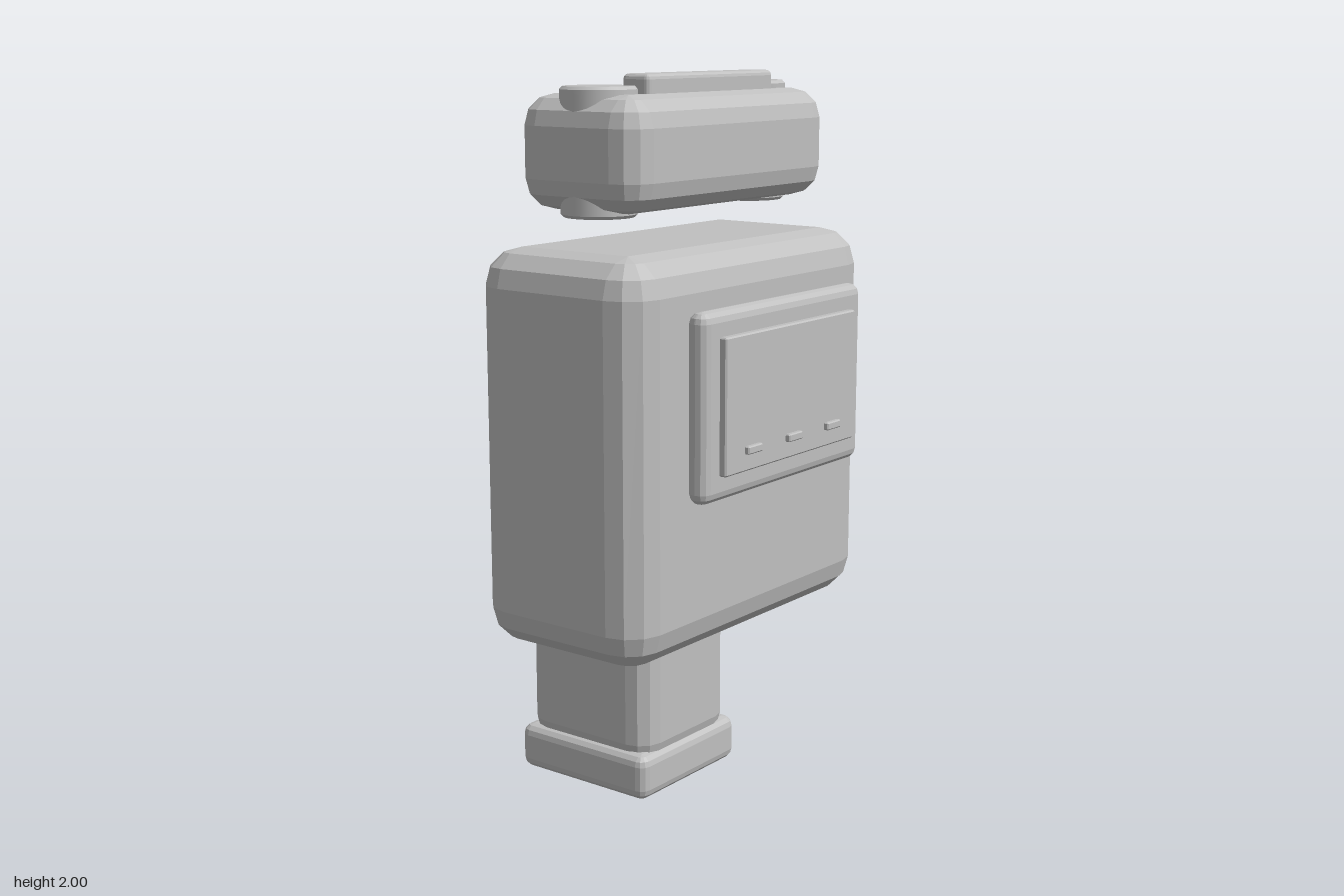
import * as THREE from 'three';
import { ConvexGeometry } from 'three/addons/geometries/ConvexGeometry.js';

const grey = new THREE.MeshStandardMaterial({ color: 0xc0c0c0 });
grey.name = 'plain grey';

// Box between two corners with faceted, rounded edges of radius r
function bevelBox(name, [x0, y0, z0], [x1, y1, z1], r, steps = 3) {
  const points = [];
  for (const sx of [-1, 1]) for (const sy of [-1, 1]) for (const sz of [-1, 1]) {
    const cx = sx < 0 ? x0 + r : x1 - r;
    const cy = sy < 0 ? y0 + r : y1 - r;
    const cz = sz < 0 ? z0 + r : z1 - r;
    for (let i = 0; i <= steps; i++) {
      const a = (i / steps) * Math.PI / 2;
      const count = i === steps ? 0 : steps;
      for (let j = 0; j <= count; j++) {
        const b = (j / steps) * Math.PI / 2;
        points.push(new THREE.Vector3(
          cx + sx * r * Math.cos(a) * Math.cos(b),
          cy + sy * r * Math.sin(a),
          cz + sz * r * Math.cos(a) * Math.sin(b)));
      }
    }
  }
  const mesh = new THREE.Mesh(new ConvexGeometry(points), grey);
  mesh.name = name;
  return mesh;
}

// Upright pin with softly bevelled rims, passing through the head
function hingePin(name, x) {
  const y0 = 1.64, y1 = 1.97, r = 0.1, b = 0.008;
  const profile = [[0, y0], [r - b, y0], [r - b, y0], [r, y0 + b], [r, y0 + b],
    [r, y1 - b], [r, y1 - b], [r - b, y1], [r - b, y1], [0, y1]]
    .map(([px, py]) => new THREE.Vector2(px, py));
  // Separate lathe strips keep the rim edges sharp
  const pin = new THREE.Group();
  pin.name = name;
  for (let i = 0; i < profile.length; i += 2) {
    pin.add(new THREE.Mesh(new THREE.LatheGeometry([profile[i], profile[i + 1]], 32), grey));
  }
  pin.position.set(x, 0, 0.007);
  return pin;
}

export function createModel() {
  const model = new THREE.Group();
  model.name = 'boxyDevice';

  // Foot and stem
  model.add(bevelBox('foot', [-0.22, 0, -0.403], [0.22, 0.13, 0.055], 0.03));
  model.add(bevelBox('stem', [-0.2, 0.08, -0.394], [0.2, 0.712, 0.046], 0.07));

  // Main body and tilting head
  model.add(bevelBox('body', [-0.532, 0.495, -0.268], [0.532, 1.56, 0.282], 0.1));
  model.add(bevelBox('head', [-0.44, 1.655, -0.194], [0.44, 1.95, 0.208], 0.08));

  // Pins and bar on the head
  model.add(hingePin('leftPin', 0.33), hingePin('rightPin', -0.33));
  model.add(bevelBox('topBar', [-0.276, 1.935, 0.037], [0.276, 2, 0.125], 0.014));

  // Front panel, screen and three buttons
  model.add(bevelBox('panel', [-0.366, 0.93, 0.308], [0.366, 1.424, 0.37], 0.029));
  model.add(bevelBox('screen', [-0.3, 1.0, 0.365], [0.3, 1.358, 0.39], 0.004, 1));
  for (const x of [-0.185, 0, 0.185]) {
    model.add(bevelBox('button', [x - 0.032, 1.046, 0.385], [x + 0.032, 1.067, 0.403], 0.003, 1));
  }
  return model;
}
